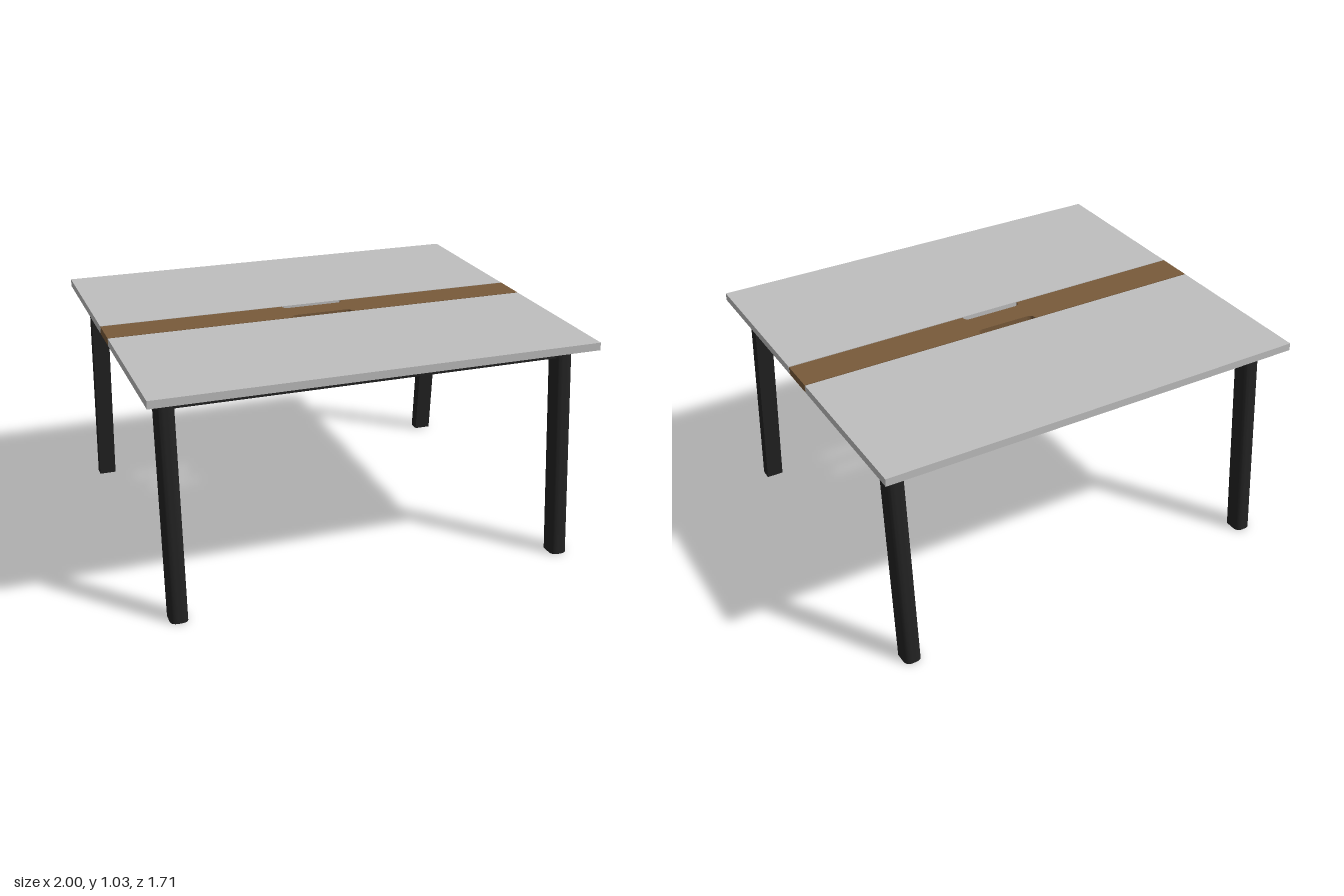
import * as THREE from 'three';
import { toCreasedNormals } from 'three/addons/utils/BufferGeometryUtils.js';

const Y_TOP = 1.0, THICK = 0.035;

function material(name, color) {
  const m = new THREE.MeshStandardMaterial({ color });
  m.name = name;
  return m;
}

// Extrudes a plan shape (x, -z) upwards from y = 0
function extrudeUp(shape, height) {
  const g = new THREE.ExtrudeGeometry(shape, { depth: height, bevelEnabled: false, curveSegments: 8 });
  return g.rotateX(-Math.PI / 2);
}

// Leg section: square on the inside, rounded on the outside, leaning inwards as it rises
function legGeometry() {
  const w = 0.04, d = 0.078, r = 0.034;
  const s = new THREE.Shape();
  s.moveTo(w, d);
  s.lineTo(-w, d);
  s.lineTo(-w, r);
  s.quadraticCurveTo(-w, 0, -w + r, 0);
  s.lineTo(w - r, 0);
  s.quadraticCurveTo(w, 0, w, r);
  s.closePath();
  const g = extrudeUp(s, Y_TOP);
  const p = g.attributes.position;
  for (let i = 0; i < p.count; i++) p.setZ(i, p.getZ(i) + 0.823 - 0.088 * p.getY(i));
  return toCreasedNormals(g, 0.6);
}

// Centre strip with a rounded cable notch on each long edge
function stripGeometry() {
  const z = 0.084, a = 0.145, depth = 0.029, r = 0.028;
  const s = new THREE.Shape();
  s.moveTo(-1, -z);
  for (const k of [1, -1]) {
    s.lineTo(-a * k, -z * k);
    s.quadraticCurveTo(-a * k, (-z + depth) * k, (-a + r) * k, (-z + depth) * k);
    s.lineTo((a - r) * k, (-z + depth) * k);
    s.quadraticCurveTo(a * k, (-z + depth) * k, a * k, -z * k);
    s.lineTo(k, -z * k);
    s.lineTo(k, z * k);
  }
  return toCreasedNormals(extrudeUp(s, THICK), 0.6);
}

export function createModel() {
  const grey = material('grey top', 0xbebebe);
  const wood = material('brown wood', 0x785a3a);
  const black = material('black metal', 0x222222);
  const model = new THREE.Group();
  model.name = 'doubleDesk';

  function add(parent, name, geometry, mat, x = 0, y = 0, z = 0) {
    const m = new THREE.Mesh(geometry, mat);
    m.name = name;
    m.position.set(x, y, z);
    parent.add(m);
  }

  const leg = legGeometry();
  const top = new THREE.BoxGeometry(2, THICK, 0.767);
  const longRail = new THREE.BoxGeometry(1.74, 0.065, 0.06);
  const endRail = new THREE.BoxGeometry(0.08, 0.085, 1.36);

  // Each half carries a worktop, two legs, a long rail and one end rail
  for (const side of ['front', 'back']) {
    const half = new THREE.Group();
    half.name = side + 'Half';
    add(half, side + 'Worktop', top, grey, 0, Y_TOP + THICK / 2, 0.4715);
    add(half, side + 'LegA', leg, black, 0.9);
    add(half, side + 'LegB', leg, black, -0.9);
    add(half, side + 'Rail', longRail, black, 0, Y_TOP - 0.0325, 0.695);
    add(half, side + 'EndRail', endRail, black, 0.9, Y_TOP - 0.0425, 0);
    if (side === 'back') half.rotation.y = Math.PI;
    model.add(half);
  }

  add(model, 'cableStrip', stripGeometry(), wood, 0, Y_TOP, 0);
  return model;
}
